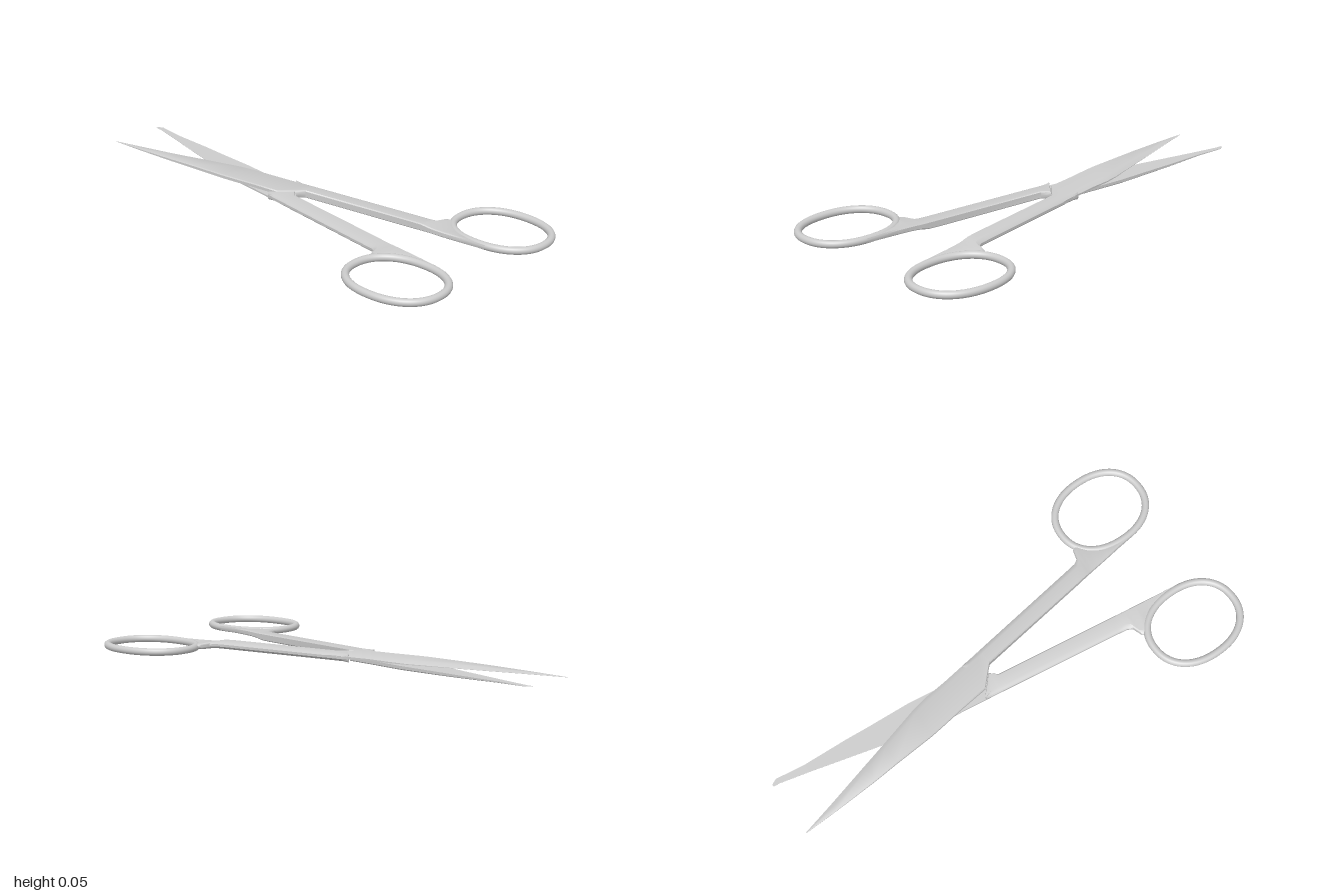
import * as THREE from 'three';
import { toCreasedNormals } from 'three/addons/utils/BufferGeometryUtils.js';

const material = new THREE.MeshStandardMaterial({ color: 0xcccccc });

// Skins closed (z, y) loops placed along x; loops run from top towards +z.
function loft(sections) {
  const pos = [], index = [];
  const n = sections[0].loop.length;
  for (const { x, loop } of sections) for (const [z, y] of loop) pos.push(x, y, z);
  for (let s = 0; s < sections.length - 1; s++) {
    for (let i = 0; i < n; i++) {
      const j = (i + 1) % n, a = s * n, b = a + n;
      index.push(a + i, a + j, b + i, a + j, b + j, b + i);
    }
  }
  const last = (sections.length - 1) * n;
  for (let i = 1; i < n - 1; i++) {
    index.push(0, i + 1, i, last, last + i, last + i + 1);
  }
  const g = new THREE.BufferGeometry();
  g.setAttribute('position', new THREE.Float32BufferAttribute(pos, 3));
  g.setIndex(index);
  return toCreasedNormals(g, 0.65);
}

function addMesh(group, name, geometry) {
  const mesh = new THREE.Mesh(geometry, material);
  mesh.name = name;
  group.add(mesh);
}

// Blade: flat inner face at y = 0, bevelled cutting edge on the back side.
// Station: x, front z, back z, thickness, back edge thickness
function bladeSection([x, zf, zb, h, e]) {
  const w = zf - zb;
  const bevel = Math.min(0.02, w * 0.4), c = Math.min(0.004, w * 0.2);
  return {
    x,
    loop: [[zb + bevel, h], [zf - c, h], [zf, h * 0.75], [zf, 0], [zb, 0], [zb, e]],
  };
}

// Shank: full thickness bar, rounded along its outer (back) edge.
// Station: x, front z, back z, bottom y, top y
function shankSection([x, zf, zb, yb, yt]) {
  const k = Math.min(1, (zf - zb) / 0.05);
  const t = (yt - yb) / 0.032;
  const c = 0.004 * k;
  return {
    x,
    loop: [
      [zb + 0.02 * k, yt], [zf - c, yt], [zf, yt - 0.004], [zf, yb + 0.004], [zf - c, yb],
      [zb + 0.02 * k, yb], [zb + 0.006 * k, yb + 0.005 * t], [zb, yb + 0.011 * t],
      [zb, yt - 0.011 * t], [zb + 0.006 * k, yt - 0.005 * t],
    ],
  };
}

// Finger loop: round tube along a slightly squared oval
function fingerLoop() {
  const points = [];
  const p = 2 / 2.2;
  const bend = (v) => Math.sign(v) * Math.abs(v) ** p;
  for (let i = 0; i < 40; i++) {
    const a = (i / 40) * Math.PI * 2;
    points.push(new THREE.Vector3(
      0.785 + 0.2 * bend(Math.cos(a)), -0.008, -0.317 + 0.16 * bend(Math.sin(a))));
  }
  return new THREE.TubeGeometry(new THREE.CatmullRomCurve3(points, true), 96, 0.0155, 14, true);
}

function scissorHalf(name, tip) {
  const half = new THREE.Group();
  half.name = name;

  addMesh(half, 'blade', loft([
    ...tip,
    [-0.85, 0.117, 0.08, 0.006, 0.001],
    [-0.66, 0.107, 0.029, 0.011, 0.001],
    [-0.55, 0.098, 0, 0.0135, 0.0015],
    [-0.37, 0.086, -0.049, 0.016, 0.003],
    [-0.3, 0.077, -0.063, 0.016, 0.005],
    [-0.2, 0.063, -0.072, 0.016, 0.007],
    [-0.08, 0.05, -0.089, 0.016, 0.007],
    [-0.03, 0, -0.096, 0.016, 0.007],
    [0, -0.03, -0.101, 0.016, 0.007],
  ].map(bladeSection)));

  // Shank flares into the web that carries the finger loop
  addMesh(half, 'shank', loft([
    [-0.1, -0.078, -0.086, -0.016, 0.016],
    [-0.07, -0.045, -0.091, -0.016, 0.016],
    [-0.03, -0.002, -0.096, -0.016, 0.016],
    [0, -0.03, -0.101, -0.016, 0.016],
    [0.5, -0.1, -0.173, -0.016, 0.016],
    [0.545, -0.107, -0.18, -0.016, 0.015],
    [0.567, -0.11, -0.193, -0.016, 0.012],
    [0.58, -0.112, -0.235, -0.016, 0.009],
    [0.6, -0.115, -0.248, -0.017, 0.007],
    [0.63, -0.119, -0.21, -0.018, 0.005],
    [0.68, -0.126, -0.178, -0.019, 0.004],
    [0.75, -0.136, -0.162, -0.019, 0.003],
    [0.83, -0.145, -0.158, -0.017, 0.001],
  ].map(shankSection)));

  addMesh(half, 'fingerLoop', fingerLoop());
  half.position.y = 0.0235;
  return half;
}

export function createModel() {
  const scissors = new THREE.Group();
  scissors.name = 'scissors';

  // Upper half has a pointed tip, lower half a blunter one
  const upper = scissorHalf('upperHalf', [[-1, 0.122, 0.118, 0.001, 0.0005]]);
  const lower = scissorHalf('lowerHalf', [
    [-1, 0.124, 0.113, 0.001, 0.0005],
    [-0.975, 0.135, 0.111, 0.002, 0.0005],
  ]);
  // The lower half is the same part turned over about the long axis
  lower.rotation.x = Math.PI;
  scissors.add(upper, lower);
  return scissors;
}
